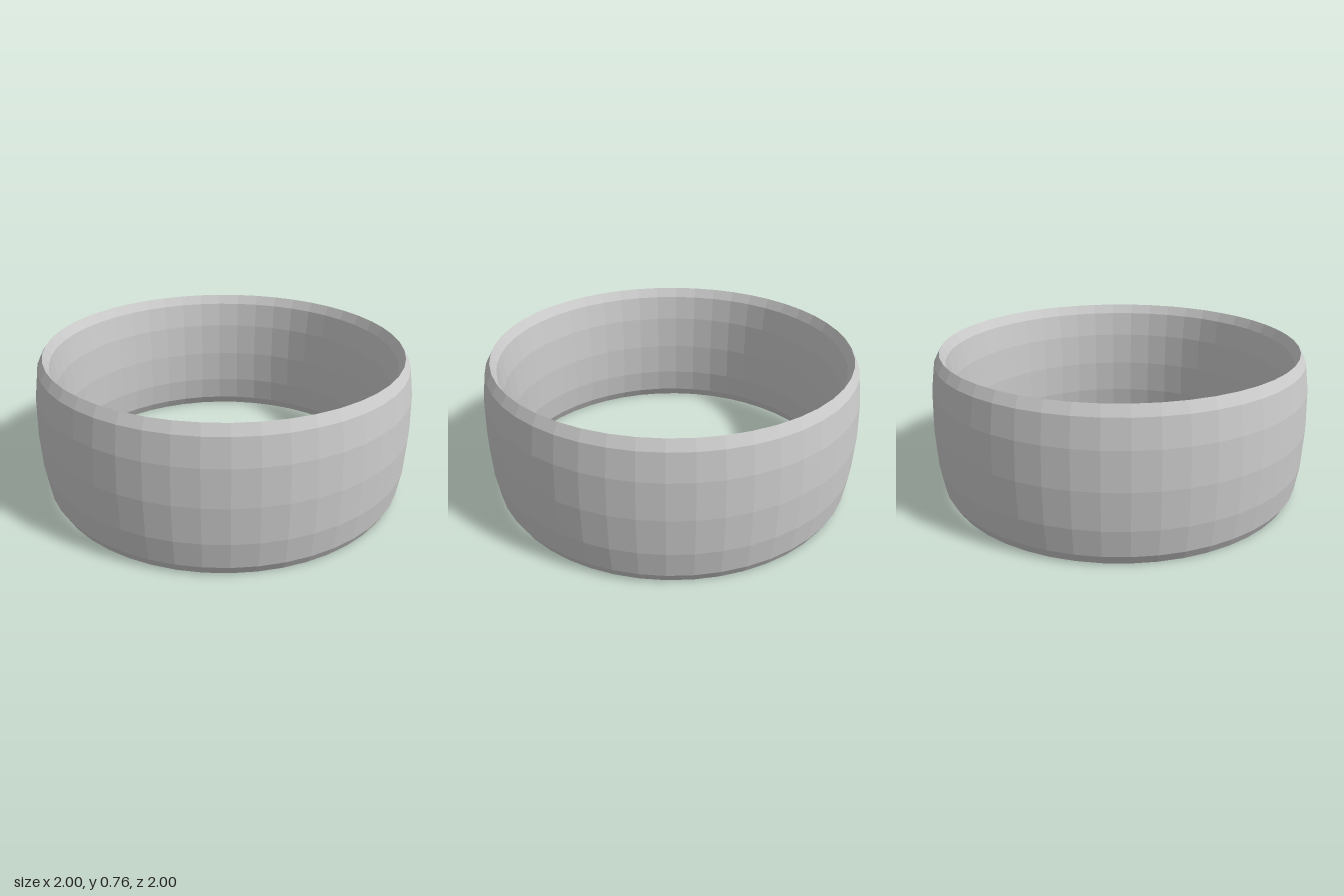
import * as THREE from 'three';

export function createModel() {
  const height = 0.765;   // overall band height
  const tube = 0.0575;    // half the wall thickness
  const group = new THREE.Group();
  group.name = 'ring';

  // Wide band: a faceted torus whose section is stretched into a tall ellipse
  const geometry = new THREE.TorusGeometry(1 - tube, tube, 12, 48);
  geometry.rotateX(-Math.PI / 2);
  geometry.scale(1, height / (2 * tube), 1);
  geometry.translate(0, height / 2, 0);
  geometry.computeVertexNormals();

  const band = new THREE.Mesh(
    geometry,
    new THREE.MeshStandardMaterial({ color: 0xcccccc, flatShading: true })
  );
  band.name = 'band';
  group.add(band);
  return group;
}
